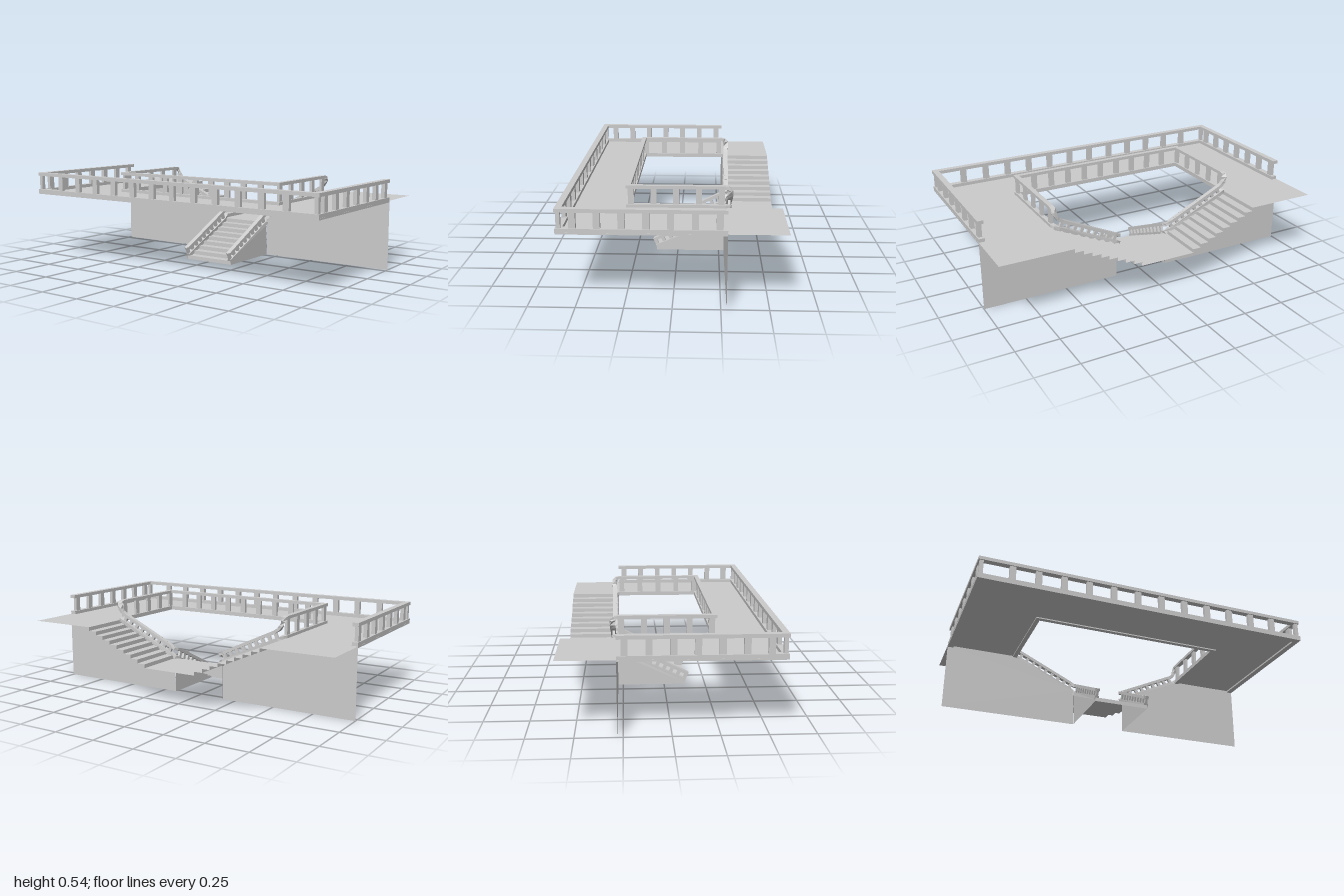
import * as THREE from 'three';

const solid = new THREE.MeshStandardMaterial({ color: 0xcccccc, flatShading: true });
const thin = new THREE.MeshStandardMaterial({ color: 0xcccccc, flatShading: true, side: THREE.DoubleSide });
const V = (x, y, z) => new THREE.Vector3(x, y, z);

const DECK = 0.41, LANDING = 0.21, BACK = -0.59, WALL = -0.28;
const STAIR_W = 0.17, WELL = 0.578, RISERS = 9;
const RISE = LANDING / RISERS;

function add(parent, name, geometry, material = solid) {
  const mesh = new THREE.Mesh(geometry, material);
  mesh.name = name;
  parent.add(mesh);
  return mesh;
}

function triangles(pos, index) {
  const g = new THREE.BufferGeometry();
  g.setAttribute('position', new THREE.Float32BufferAttribute(pos, 3));
  g.setIndex(index);
  const flat = g.toNonIndexed();
  flat.computeVertexNormals();
  return flat;
}

// Rectangular bar swept along a path, kept level across its width
function sweep(points, w, h) {
  const pos = [], index = [], n = points.length;
  const side = (a, b) => V(b.z - a.z, 0, a.x - b.x).normalize();
  points.forEach((p, i) => {
    const a = points[Math.max(i - 1, 0)], b = points[Math.min(i + 1, n - 1)];
    const s0 = i > 0 ? side(a, p) : side(p, b);
    const s1 = i < n - 1 ? side(p, b) : s0;
    const s = s0.clone().add(s1).normalize();
    const t0 = p.clone().sub(a).normalize(), t1 = b.clone().sub(p).normalize();
    const up = V(0, 0, 0).crossVectors(t0.add(t1).normalize(), s).normalize();
    if (up.y < 0) up.negate();
    const half = w / 2 / Math.max(s.dot(s0), 0.6);
    for (const [u, v] of [[-1, -1], [1, -1], [1, 1], [-1, 1]]) {
      const q = p.clone().addScaledVector(s, u * half).addScaledVector(up, v * h / 2);
      pos.push(q.x, q.y, q.z);
    }
  });
  for (let i = 0; i < n - 1; i++)
    for (let k = 0; k < 4; k++) {
      const a = i * 4 + k, b = i * 4 + (k + 1) % 4;
      index.push(a, b, b + 4, a, b + 4, a + 4);
    }
  const e = (n - 1) * 4;
  index.push(0, 2, 1, 0, 3, 2, e, e + 1, e + 2, e, e + 2, e + 3);
  return triangles(pos, index);
}

// Completes a half path on +x with its mirror image on -x
const mirrored = half => [...half, ...half.slice().reverse().map(p => V(-p.x, p.y, p.z))];

// Balusters between two points, standing square to the line
function balusters(parent, name, a, b, count, width, depth, height, ends = true) {
  const t = b.clone().sub(a).normalize();
  const s = V(t.z, 0, -t.x).normalize();
  const up = V(0, 0, 0).crossVectors(s, t).negate();
  if (up.y < 0) { up.negate(); }
  const basis = new THREE.Matrix4().makeBasis(t, up, V(0, 0, 0).crossVectors(t, up));
  const geometry = new THREE.BoxGeometry(width, height, depth);
  for (let i = 0; i < count; i++) {
    const f = ends ? i / (count - 1) : (i + 1) / (count + 1);
    const post = add(parent, name, geometry);
    post.quaternion.setFromRotationMatrix(basis);
    post.position.lerpVectors(a, b, f).addScaledVector(up, height / 2);
  }
}

// Open flight of treads and risers climbing along +x, centred on z
function flight(run, rise, width) {
  const pos = [], index = [], tread = run / (RISERS - 1);
  for (let i = 0; i < RISERS; i++)
    for (const y of [i, i + 1])
      pos.push(i * tread, y * rise, -width / 2, i * tread, y * rise, width / 2);
  for (let i = 0; i < RISERS * 2 - 1; i++) {
    const a = i * 2;
    index.push(a, a + 1, a + 3, a, a + 3, a + 2);
  }
  return triangles(pos, index);
}

function panel(points) {
  return new THREE.ShapeGeometry(new THREE.Shape(points.map(([x, y]) => new THREE.Vector2(x, y))));
}

export function createModel() {
  const model = new THREE.Group();
  model.name = 'galleryWithStairs';

  // U-shaped gallery floor and the lower landing
  const deck = add(model, 'galleryFloor', panel([
    [-1, -BACK], [-1, -0.587], [1, -0.587], [1, -BACK],
    [WELL, -BACK], [WELL, -0.265], [-WELL, -0.265], [-WELL, -BACK]]), thin);
  deck.rotation.x = -Math.PI / 2;
  deck.position.y = DECK;
  const landing = add(model, 'landing', new THREE.PlaneGeometry(STAIR_W * 2, WALL - BACK), thin);
  landing.rotation.x = -Math.PI / 2;
  landing.position.set(0, LANDING, (WALL + BACK) / 2);

  // Flights of steps
  const run = WELL - STAIR_W;
  const sideFlight = flight(run, (DECK - LANDING) / RISERS, WALL - BACK);
  const lower = add(model, 'lowerFlight', flight(0.13 - WALL, RISE, STAIR_W * 2 - 0.01), thin);
  lower.rotation.y = Math.PI / 2;
  lower.position.z = 0.13;

  const rails = new THREE.Group();
  rails.name = 'balustrades';
  model.add(rails);

  for (const s of [1, -1]) {
    const f = add(model, s > 0 ? 'leftFlight' : 'rightFlight', sideFlight, thin);
    f.rotation.y = s > 0 ? 0 : Math.PI;
    f.position.set(s * STAIR_W, LANDING, (WALL + BACK) / 2);

    // Supporting wall under the gallery and side flight
    add(model, 'supportWall', panel([
      [s * STAIR_W, 0], [s, 0], [s, DECK], [s * WELL, DECK], [s * STAIR_W, LANDING + RISE]]), thin)
      .position.z = WALL;

    // Side wall of the lower flight
    const cheek = add(model, 'lowerFlightWall', panel([
      [-0.13, 0], [-WALL, 0], [-WALL, LANDING], [0.25, LANDING], [-0.13, 0.026]]), thin);
    cheek.rotation.y = Math.PI / 2;
    cheek.position.x = s * (STAIR_W - 0.003);

    // Balusters on the straight side runs and on the stairs
    balusters(rails, 'outerBaluster', V(s * 0.982, 0.428, -0.24), V(s * 0.982, 0.428, 0.5), 7, 0.035, 0.022, 0.09);
    add(rails, 'outerEndPost', new THREE.BoxGeometry(0.022, 0.09, 0.022)).position.set(s * 0.982, 0.473, 0.57);
    balusters(rails, 'innerBaluster', V(s * 0.572, 0.428, -0.255), V(s * 0.572, 0.428, 0.243), 5, 0.033, 0.016, 0.09);
    balusters(rails, 'sideFlightBaluster', V(s * 0.2, 0.25, -0.298), V(s * 0.535, 0.405, -0.298), 9, 0.02, 0.014, 0.05);
    balusters(rails, 'lowerFlightBaluster', V(s * 0.158, 0.03, 0.122), V(s * 0.158, 0.205, -0.26), 10, 0.02, 0.014, 0.05);
  }
  balusters(rails, 'outerBaluster', V(-0.8085, 0.428, 0.57), V(0.8085, 0.428, 0.57), 12, 0.035, 0.022, 0.09);
  balusters(rails, 'innerBaluster', V(-0.572, 0.428, 0.257), V(0.572, 0.428, 0.257), 9, 0.033, 0.016, 0.09, false);

  // Outer kerb and handrail
  for (const [name, y, h] of [['outerKerb', 0.415, 0.03], ['outerHandrail', 0.525, 0.02]])
    add(rails, name, sweep(mirrored([V(0.982, y, WALL), V(0.982, y, 0.57)]), 0.035, h));

  // Inner kerb follows both flights and the well edge
  add(rails, 'innerKerb', sweep(mirrored([
    V(0.158, 0.022, 0.13), V(0.158, 0.205, -0.27), V(0.165, 0.222, -0.29), V(0.185, 0.237, -0.298),
    V(0.54, 0.402, -0.298), V(0.565, 0.413, -0.293), V(0.572, 0.415, -0.275), V(0.572, 0.415, 0.257)]), 0.026, 0.024));

  // Inner handrail with swan necks at the head of the side flights
  add(rails, 'innerHandrail', sweep(mirrored([
    V(0.158, 0.067, 0.143), V(0.158, 0.257, -0.25), V(0.158, 0.268, -0.28), V(0.166, 0.274, -0.295),
    V(0.19, 0.289, -0.3), V(0.52, 0.444, -0.3), V(0.548, 0.462, -0.302), V(0.561, 0.482, -0.304),
    V(0.569, 0.507, -0.302), V(0.572, 0.522, -0.291), V(0.572, 0.526, -0.27), V(0.572, 0.526, 0.257)]), 0.028, 0.018));

  return model;
}
